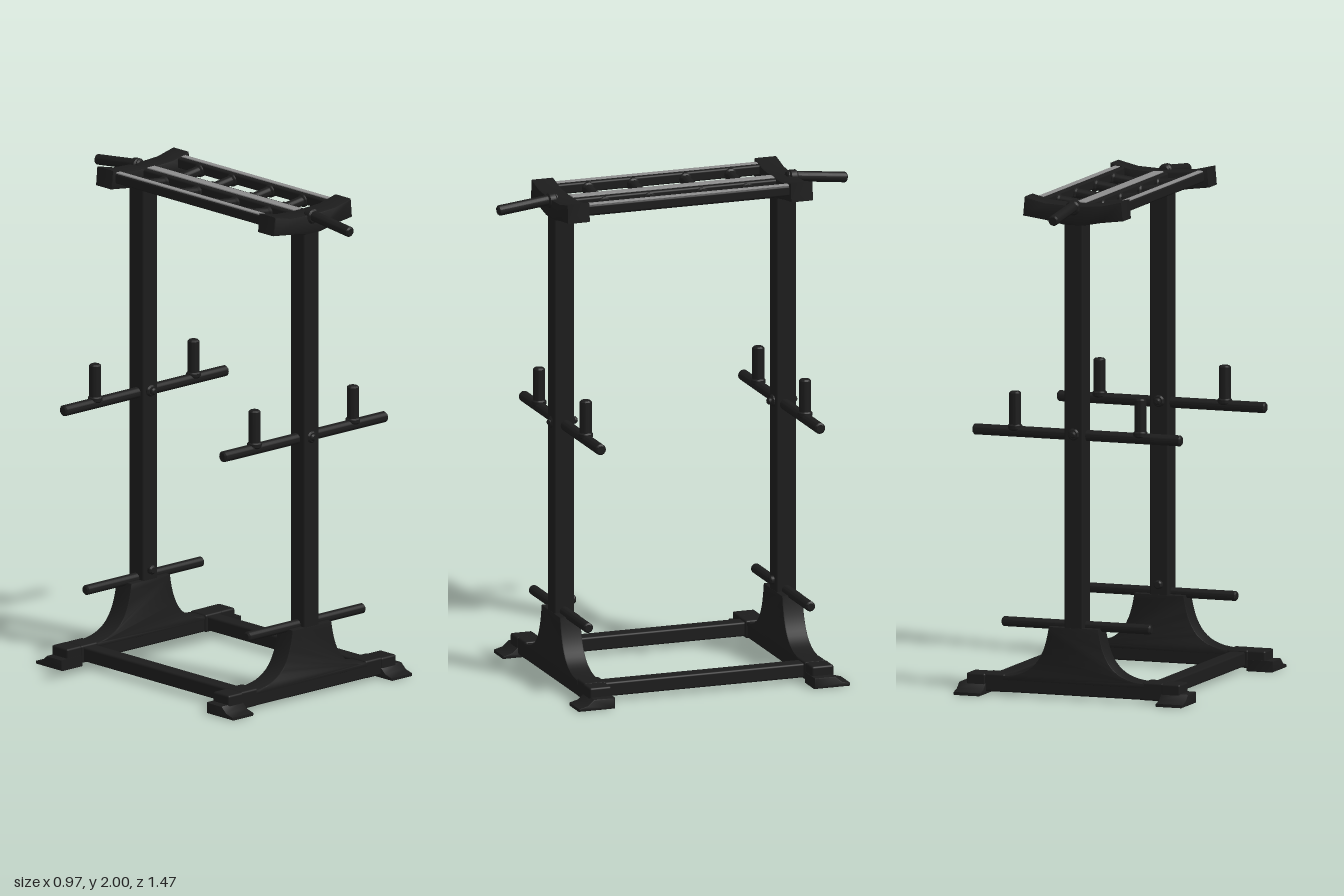
import * as THREE from 'three';
import { RoundedBoxGeometry } from 'three/addons/geometries/RoundedBoxGeometry.js';
import { toCreasedNormals } from 'three/addons/utils/BufferGeometryUtils.js';

export function createModel() {
  const model = new THREE.Group();
  const black = new THREE.MeshStandardMaterial({ color: 0x1c1c1c, name: 'black steel' });
  const grey = new THREE.MeshStandardMaterial({ color: 0x8c8c8c, name: 'grey highlight' });

  const add = (name, geometry, parent = model, material = black) => {
    const mesh = new THREE.Mesh(geometry, material);
    mesh.name = name;
    parent.add(mesh);
    return mesh;
  };
  const box = (name, w, h, d, x, y, z, parent, r = 0.008) => {
    const mesh = add(name, new RoundedBoxGeometry(w, h, d, 2, r), parent);
    mesh.position.set(x, y, z);
    return mesh;
  };
  // Round bar with softened ends between two points
  const bar = (name, a, b, r, parent) => {
    const from = new THREE.Vector3(...a), to = new THREE.Vector3(...b);
    const len = from.distanceTo(to), h = len / 2, c = 0.006;
    const profile = [[0, -h], [r - c, -h], [r, c - h], [r, h - c], [r - c, h], [0, h]];
    const geo = toCreasedNormals(new THREE.LatheGeometry(profile.map(p => new THREE.Vector2(...p)), 20), 0.6);
    const mesh = add(name, geo, parent);
    mesh.position.copy(from).lerp(to, 0.5);
    mesh.quaternion.setFromUnitVectors(new THREE.Vector3(0, 1, 0), to.sub(from).normalize());
    return mesh;
  };
  // Profile extruded along z, centred, with a small bevel inside its depth
  const plate = (name, shape, depth, z, parent) => {
    const b = 0.005;
    const geo = new THREE.ExtrudeGeometry(shape, {
      depth: depth - 2 * b, bevelThickness: b, bevelSize: b, bevelOffset: -b, bevelSegments: 2, curveSegments: 14,
    });
    geo.translate(0, 0, b - depth / 2);
    const mesh = add(name, toCreasedNormals(geo, 0.6), parent);
    mesh.position.z = z;
    return mesh;
  };

  // Flared gusset at the foot of an upright
  const gusset = new THREE.Shape();
  gusset.moveTo(-0.30, 0.06);
  gusset.lineTo(-0.30, 0.078);
  gusset.bezierCurveTo(-0.17, 0.085, -0.125, 0.15, -0.105, 0.285);
  gusset.lineTo(0.105, 0.285);
  gusset.bezierCurveTo(0.125, 0.15, 0.17, 0.085, 0.30, 0.078);
  gusset.lineTo(0.30, 0.06);
  gusset.closePath();

  // Shallow V head carrying the overhead ladder
  const head = new THREE.Shape([
    [-0.205, 1.998], [-0.212, 1.922], [-0.12, 1.91], [-0.04, 1.895], [0.04, 1.895],
    [0.12, 1.91], [0.212, 1.922], [0.205, 1.998], [0.12, 1.978], [0, 1.972], [-0.12, 1.978],
  ].map(p => new THREE.Vector2(...p)));

  // Sole plate section: thin lip outward, sloping up to the beam
  const sole = new THREE.Shape([
    [0.42, 0], [0.572, 0], [0.572, 0.012], [0.535, 0.022], [0.508, 0.045], [0.42, 0.045],
  ].map(p => new THREE.Vector2(...p)));

  // End frames: built for +z, turned round for -z
  for (const side of [1, -1]) {
    const frame = new THREE.Group();
    frame.name = side > 0 ? 'frontFrame' : 'backFrame';
    frame.rotation.y = side > 0 ? 0 : Math.PI;
    model.add(frame);

    box('upright', 0.08, 1.88, 0.084, 0, 1.0, 0.468, frame);
    box('baseBeam', 0.90, 0.066, 0.084, 0, 0.046, 0.468, frame);
    plate('gusset', gusset, 0.088, 0.468, frame);
    plate('head', head, 0.094, 0.47, frame);

    bar('lowerStorageBar', [-0.315, 0.29, 0.468], [0.315, 0.29, 0.468], 0.02, frame);
    bar('upperStorageBar', [-0.44, 1.05, 0.462], [0.44, 1.05, 0.462], 0.022, frame);
    for (const s of [-1, 1]) {
      bar('verticalPeg', [s * 0.265, 1.05, 0.462], [s * 0.265, 1.21, 0.462], 0.024, frame);
      bar('pegCollar', [s * 0.265, 1.055, 0.462], [s * 0.265, 1.08, 0.462], 0.029, frame);

      // Feet
      const foot = plate('solePlate', sole, 0.115, 0, frame);
      foot.rotation.y = -Math.PI / 2;
      foot.position.x = s * 0.428;
      box('beamEndCap', 0.08, 0.072, 0.092, s * 0.412, 0.047, 0.468, frame);
      box('railCollar', 0.09, 0.072, 0.092, s * 0.335, 0.048, 0.464, frame);
    }

    // Locking knobs
    bar('upperKnob', [0, 1.058, 0.40], [0, 1.058, 0.525], 0.014, frame);
    bar('upperKnobHub', [0, 1.058, 0.415], [0, 1.058, 0.516], 0.024, frame);
    bar('lowerKnob', [0, 0.325, 0.408], [0, 0.325, 0.45], 0.018, frame);

    // Angled pull-up handle
    bar('handle', [0, 1.972, 0.48], [0, 1.943, 0.735], 0.021, frame);
    bar('handleCollar', [0, 1.966, 0.49], [0, 1.964, 0.525], 0.03, frame);
  }

  // Long rails joining the base
  for (const s of [-1, 1]) box('baseRail', 0.066, 0.058, 0.88, s * 0.334, 0.047, 0, model);

  // Overhead ladder: centre beam, outer rails and rungs
  box('centreBeam', 0.08, 0.076, 0.88, 0, 1.934, 0, model);
  box('centreGripStrip', 0.04, 0.006, 0.85, 0, 1.974, 0, model, 0.002).material = grey;
  for (const s of [-1, 1]) {
    box('outerRail', 0.046, 0.042, 0.88, s * 0.168, 1.963, 0, model);
    box('outerGripStrip', 0.024, 0.006, 0.85, s * 0.176, 1.985, 0, model, 0.002).material = grey;
    for (const z of [-0.3, -0.11, 0.11, 0.3]) {
      bar('rung', [s * 0.02, 1.942, z], [s * 0.165, 1.96, z], 0.02, model);
      // Flared rung joints
      bar('rungJoint', [s * 0.03, 1.943, z], [s * 0.056, 1.946, z], 0.026, model);
      bar('rungJointOuter', [s * 0.135, 1.956, z], [s * 0.16, 1.959, z], 0.026, model);
    }
  }
  return model;
}
